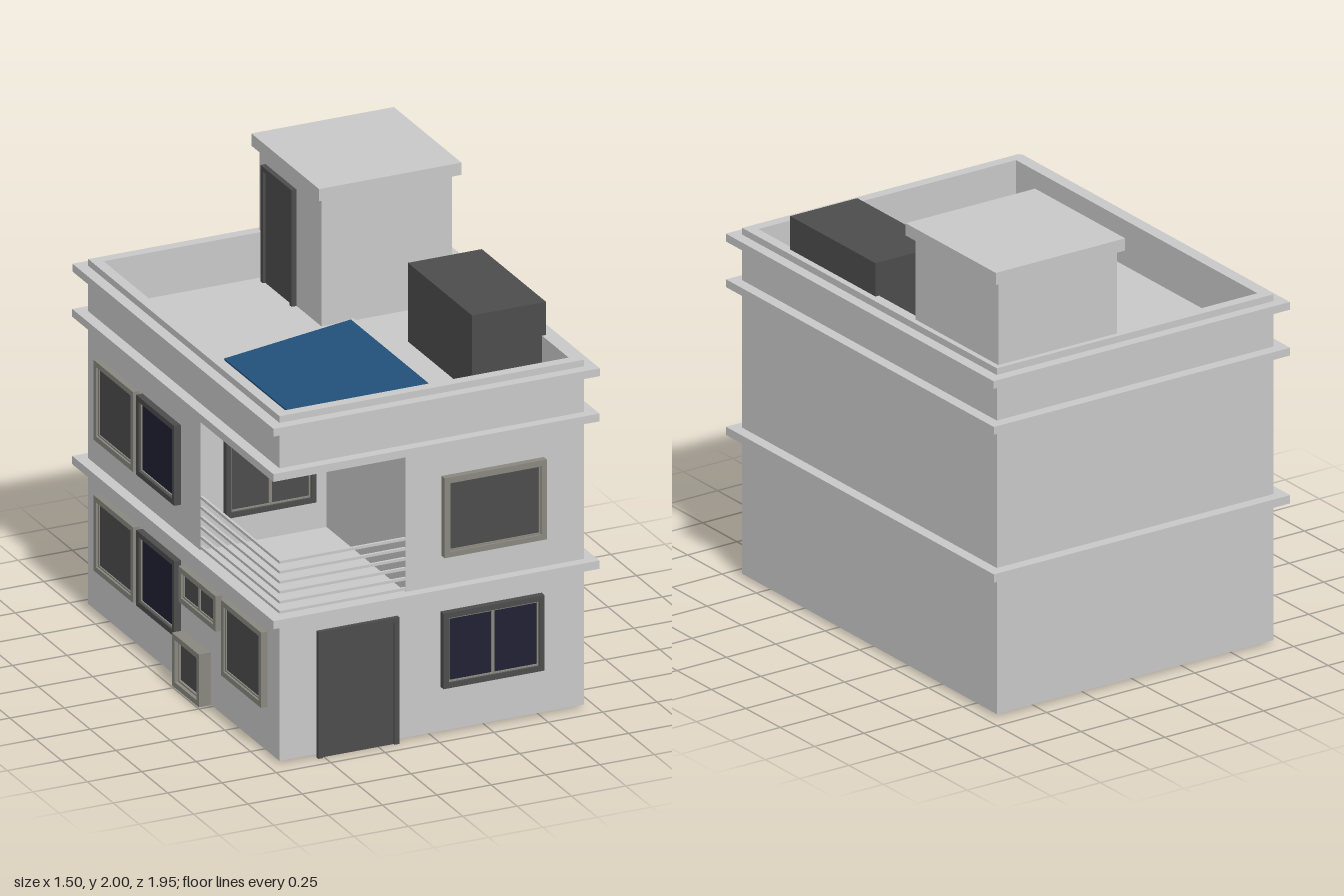
import * as THREE from 'three';

const mat = (name, color, extra = {}) => {
  const m = new THREE.MeshStandardMaterial({ color, ...extra });
  m.name = name;
  return m;
};

export function createModel() {
  const wall = mat('light plaster', 0xc8c8c8);
  const dark = mat('dark grey', 0x4c4c4c);
  const olive = mat('window frame grey', 0x888880);
  const navy = mat('navy glass', 0x202034);
  const blue = mat('solar blue', 0x22507a);
  const model = new THREE.Group();
  model.name = 'house';

  // Box given by its minimum and maximum on each axis
  function box(name, m, x0, x1, y0, y1, z0, z1, parent = model) {
    const mesh = new THREE.Mesh(new THREE.BoxGeometry(x1 - x0, y1 - y0, z1 - z0), m);
    mesh.position.set((x0 + x1) / 2, (y0 + y1) / 2, (z0 + z1) / 2);
    mesh.name = name;
    parent.add(mesh);
    return mesh;
  }

  function rectangle(T, x0, x1, y0, y1) {
    const s = new T();
    s.moveTo(x0, y0);
    s.lineTo(x1, y0);
    s.lineTo(x1, y1);
    s.lineTo(x0, y1);
    s.closePath();
    return s;
  }

  // Rectangular frame around the origin in the xy plane, from z = 0 to depth
  function frame(name, m, w, h, border, depth) {
    const s = rectangle(THREE.Shape, -w / 2, w / 2, -h / 2, h / 2);
    s.holes.push(rectangle(THREE.Path, border - w / 2, w / 2 - border, border - h / 2, h / 2 - border));
    const mesh = new THREE.Mesh(new THREE.ExtrudeGeometry(s, { depth, bevelEnabled: false }), m);
    mesh.name = name;
    return mesh;
  }

  // Horizontal ring lying in the xz plane
  function ring(name, w, l, border, y0, y1) {
    const mesh = frame(name, wall, w, l, border, y1 - y0);
    mesh.rotation.x = -Math.PI / 2;
    mesh.position.y = y0;
    model.add(mesh);
  }

  // --- Storeys and floor slabs ---
  box('groundStorey', wall, -0.7, 0.7, 0.015, 0.64, -0.925, 0.925);
  box('firstFloorSlab', wall, -0.75, 0.75, 0.635, 0.672, -0.975, 0.97);
  const plan = new THREE.Shape();
  [[-0.7, 0.925], [-0.7, -0.16], [-0.12, -0.16], [-0.12, -0.925], [0.7, -0.925], [0.7, 0.925]]
    .forEach(([x, y], i) => (i ? plan.lineTo(x, y) : plan.moveTo(x, y)));
  const upper = new THREE.Mesh(new THREE.ExtrudeGeometry(plan, { depth: 0.63, bevelEnabled: false }), wall);
  upper.rotation.x = -Math.PI / 2;
  upper.position.y = 0.67;
  upper.name = 'upperStorey';
  model.add(upper);
  box('roofSlab', wall, -0.75, 0.75, 1.3, 1.335, -0.975, 0.97);

  // --- Roof terrace ---
  box('roofFloor', wall, -0.66, 0.66, 1.335, 1.365, -0.89, 0.89);
  ring('parapet', 1.4, 1.85, 0.048, 1.335, 1.57);
  ring('parapetBand', 1.5, 1.945, 0.06, 1.505, 1.54);

  // --- Stair house ---
  box('stairHouse', wall, 0.075, 0.675, 1.36, 1.95, -0.9, -0.3);
  box('stairHouseCap', wall, 0.05, 0.705, 1.945, 2, -0.925, -0.27);

  // --- Water tank ---
  box('roofTank', dark, 0.33, 0.67, 1.36, 1.72, 0, 0.62);

  // --- Solar panel, higher toward +x ---
  const solar = new THREE.Group();
  solar.name = 'solarPanel';
  solar.position.set(-0.17, 1.425, 0.295);
  solar.rotation.z = 0.12;
  box('panelFrame', wall, -0.29, 0.305, -0.015, 0.004, -0.405, 0.405, solar);
  box('panelUnderside', dark, -0.285, 0.3, -0.022, -0.015, -0.4, 0.4, solar);
  box('panelCells', blue, -0.305, 0.282, 0.006, 0.014, -0.38, 0.378, solar);
  model.add(solar);
  box('panelSupport', wall, -0.06, 0.06, 1.36, 1.415, -0.14, 0.73);

  // --- Balcony railing on the front and the open side ---
  for (let i = 0; i < 6; i++) {
    const y = 0.685 + i * 0.045;
    box('frontRail', wall, -0.7, -0.12, y - 0.006, y + 0.006, 0.913, 0.925);
    box('sideRail', wall, -0.7, -0.688, y - 0.006, y + 0.006, 0.16, 0.913);
  }

  // Places a group so its local +z points out of the front or the -x side
  function place(name, side, u, y, out) {
    const g = new THREE.Group();
    g.name = name;
    if (side) {
      g.rotation.y = -Math.PI / 2;
      g.position.set(out, y, u);
    } else g.position.set(u, y, out);
    model.add(g);
    return g;
  }

  // Window: u0..u1 runs along the wall, out is the wall's coordinate
  function makeWindow(name, side, u0, u1, y0, y1, out, frameMat, glass, panes, depth = 0.03) {
    const w = u1 - u0, h = y1 - y0;
    const g = place(name, side, (u0 + u1) / 2, (y0 + y1) / 2, out);
    g.add(frame('windowFrame', frameMat, w, h, 0.024, depth));
    const sash = frame('windowSash', olive, w - 0.046, h - 0.046, 0.008, depth * 0.7);
    g.add(sash);
    box('glass', glass, 0.03 - w / 2, w / 2 - 0.03, 0.03 - h / 2, h / 2 - 0.03, 0, depth * 0.5, g);
    for (let i = 1; i < panes; i++) {
      const x = (i / panes - 0.5) * w;
      box('mullion', olive, x - 0.007, x + 0.007, 0.025 - h / 2, h / 2 - 0.025, 0, depth * 0.7, g);
    }
  }

  // --- Windows ---
  const low = [0.215, 0.555], high = [0.805, 1.165];
  makeWindow('frontLowerWindow', 0, 0.04, 0.505, ...low, 0.925, dark, navy, 2);
  makeWindow('frontUpperWindow', 0, 0.045, 0.515, ...high, 0.925, olive, dark, 1);
  makeWindow('balconyWindow', 0, -0.595, -0.18, ...high, 0.16, dark, dark, 2);
  for (const ys of [low, high]) {
    makeWindow('sideRearWindow', 1, -0.81, -0.43, ...ys, -0.7, olive, dark, 1);
    makeWindow('sideMiddleWindow', 1, -0.4, -0.03, ...ys, -0.7, dark, navy, 1);
  }
  makeWindow('sideFrontWindow', 1, 0.42, 0.81, ...low, -0.7, olive, dark, 1);
  makeWindow('sideSmallWindow', 1, 0.01, 0.37, 0.39, 0.55, -0.7, olive, dark, 2);
  makeWindow('sideVentBox', 1, 0, 0.26, 0.012, 0.25, -0.7, olive, dark, 1, 0.055);

  // --- Doors: leaf with a raised surround ---
  function makeDoor(name, side, u0, u1, y0, y1, out, depth) {
    const w = u1 - u0, h = y1 - y0;
    const g = place(name, side, (u0 + u1) / 2, y0, out);
    box('doorLeaf', dark, -w / 2 + 0.02, w / 2 - 0.02, 0, h - 0.02, 0, depth * 0.5, g);
    for (const s of [-1, 1]) {
      const x = s * (w / 2 - 0.011);
      box('doorJamb', dark, x - 0.011, x + 0.011, 0, h, 0, depth, g);
    }
    box('doorHead', dark, -w / 2 + 0.022, w / 2 - 0.022, h - 0.022, h, 0, depth, g);
  }
  makeDoor('frontDoor', 0, -0.53, -0.158, 0, 0.572, 0.925, 0.018);
  makeDoor('stairHouseDoor', 1, -0.84, -0.54, 1.362, 1.89, 0.075, 0.023);

  return model;
}
